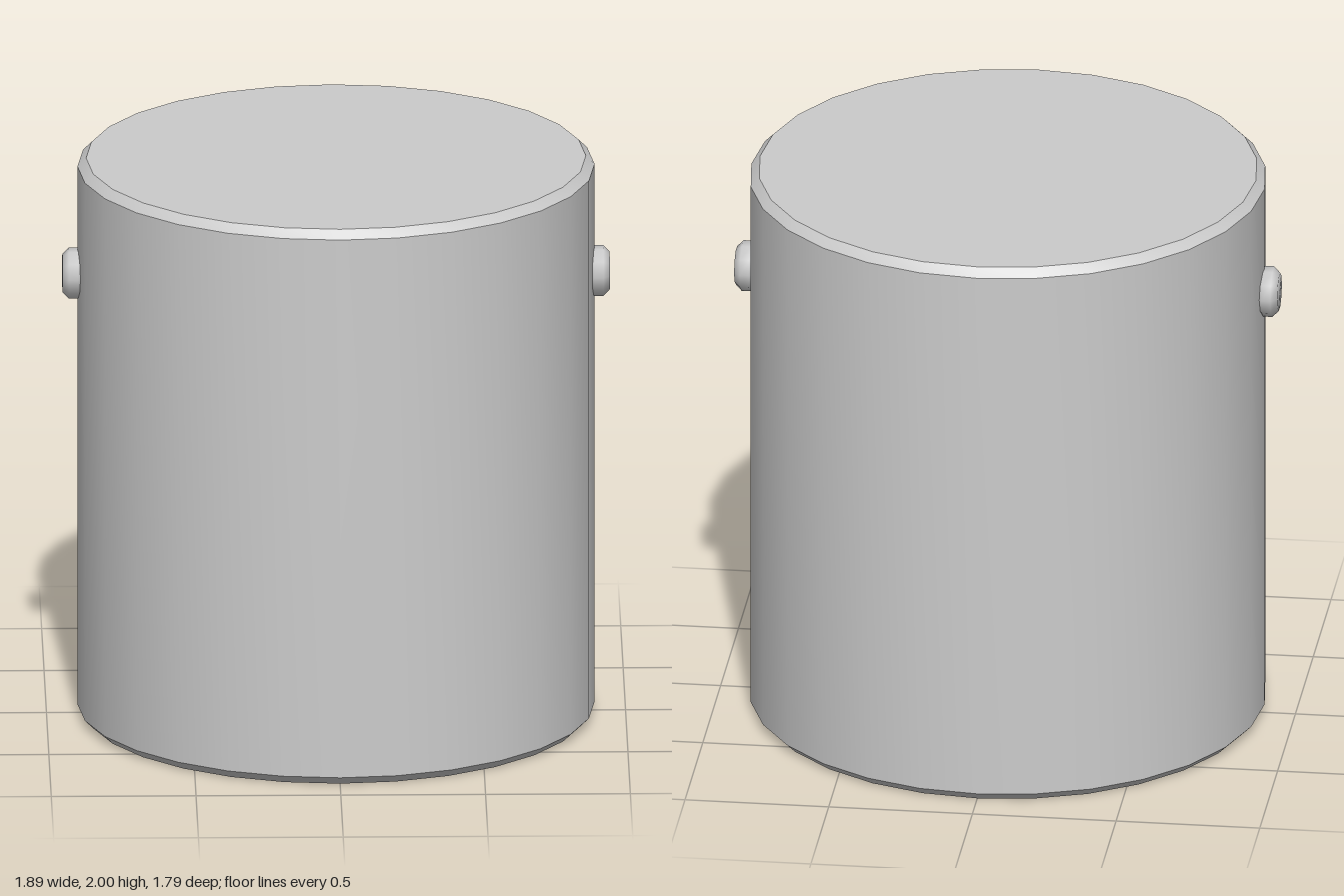
import * as THREE from 'three';
import { toCreasedNormals } from 'three/addons/utils/BufferGeometryUtils.js';

const material = new THREE.MeshStandardMaterial({ color: 0xcccccc });

// Solid of revolution from [radius, height] pairs, listed bottom to top.
function turned(name, profile, sides, creaseDegrees) {
  const points = profile.map(([r, y]) => new THREE.Vector2(r, y));
  const lathe = new THREE.LatheGeometry(points, sides);
  const geometry = toCreasedNormals(lathe, THREE.MathUtils.degToRad(creaseDegrees));
  const mesh = new THREE.Mesh(geometry, material);
  mesh.name = name;
  return mesh;
}

export function createModel() {
  const model = new THREE.Group();
  model.name = 'drum';

  // Cylindrical body with a small chamfer on both rims
  const bevel = 0.03, radius = 0.893, height = 2;
  model.add(turned('body', [
    [0, 0], [radius - bevel, 0], [radius, bevel],
    [radius, height - bevel], [radius - bevel, height], [0, height],
  ], 28, 30));

  // Short chamfered pins on both sides, pointing outward
  for (const side of [1, -1]) {
    const pin = turned(side > 0 ? 'leftPin' : 'rightPin', [
      [0, 0.87], [0.066, 0.87], [0.088, 0.892],
      [0.088, 0.923], [0.066, 0.945], [0, 0.945],
    ], 10, 60);
    pin.rotation.z = -side * Math.PI / 2;
    pin.position.y = 1.585;
    model.add(pin);
  }
  return model;
}
